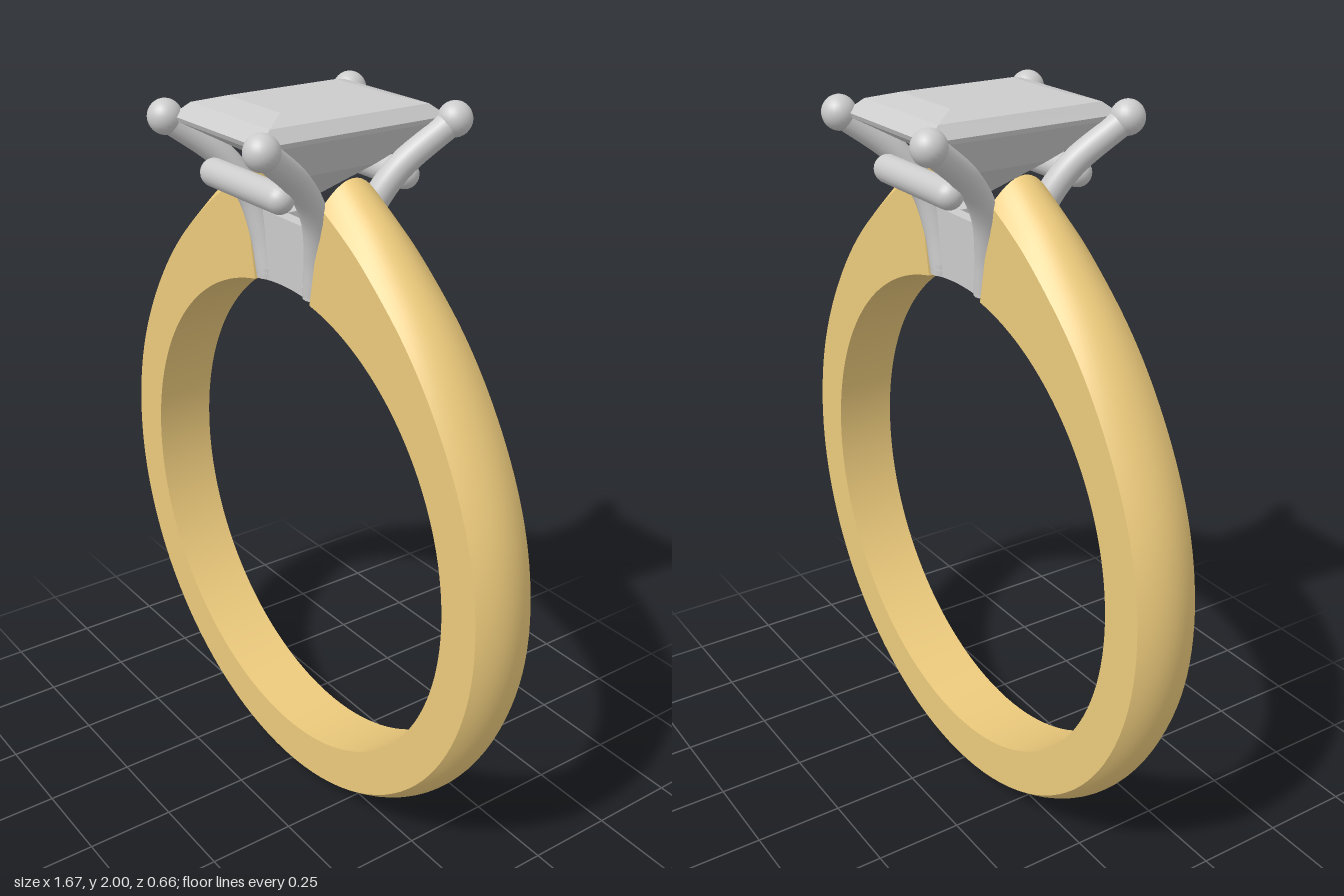
import * as THREE from 'three';
import { mergeGeometries } from 'three/addons/utils/BufferGeometryUtils.js';

const CY = 0.84, INNER = 0.68, HALF = 0.088; // finger hole centre height, radius, band half width

// Grid surface from a function of (i, j); normal = d/di x d/dj
function grid(nu, nv, f) {
  const pos = [], idx = [];
  for (let i = 0; i <= nu; i++) for (let j = 0; j <= nv; j++) pos.push(...f(i, j));
  for (let i = 0; i < nu; i++) for (let j = 0; j < nv; j++) {
    const a = i * (nv + 1) + j, b = a + nv + 1;
    idx.push(a, b, a + 1, b, b + 1, a + 1);
  }
  const g = new THREE.BufferGeometry();
  g.setAttribute('position', new THREE.Float32BufferAttribute(pos, 3));
  g.setIndex(idx);
  g.computeVertexNormals();
  return g;
}

function bandGeometry() {
  // angle from the top in degrees, radius of the side edge, radius of the domed crest
  const half = [
    [10.5, 0.945, 1.012], [18, 0.912, 0.964], [31, 0.864, 0.9], [52, 0.82, 0.845],
    [75, 0.806, 0.834], [105, 0.804, 0.834], [140, 0.805, 0.838],
  ];
  const table = [...half, [180, 0.806, 0.84], ...half.map(([a, e, c]) => [360 - a, e, c]).reverse()];
  const curve = new THREE.CatmullRomCurve3(table.map((p) => new THREE.Vector3(...p)), false, 'catmullrom', 0.5);
  const N = 168, D = 14;
  const rows = curve.getPoints(N);
  const at = (i, r, z) => {
    const a = THREE.MathUtils.degToRad(rows[i].x);
    return [r * Math.sin(a), CY + r * Math.cos(a), z];
  };
  const zAt = (j) => HALF * (1 - (2 * j) / D);
  const dome = (i, j) => {
    const k = zAt(j) / HALF;
    return at(i, rows[i].y + (rows[i].z - rows[i].y) * (1 - k * k), zAt(j));
  };
  const inner = (i, j) => at(i, INNER, zAt(j));
  return mergeGeometries([
    grid(N, D, dome),
    grid(N, 1, (i, j) => at(i, j ? INNER : rows[i].y, -HALF)),
    grid(N, 1, (i, j) => at(i, INNER, j ? HALF : -HALF)),
    grid(N, 1, (i, j) => at(i, j ? rows[i].y : INNER, HALF)),
    grid(1, D, (i, j) => (i ? dome(0, j) : inner(0, j))),
    grid(1, D, (i, j) => (i ? inner(N, j) : dome(N, j))),
  ]);
}

function gemGeometry() {
  // rectangular levels: half width, half depth, height
  const levels = [
    [0, 0, 1.74], [0.14, 0.1, 1.845], [0.197, 0.272, 1.938], [0.2, 0.277, 1.95],
    [0.175, 0.235, 1.982], [0.115, 0.165, 2], [0, 0, 2],
  ];
  const corners = [[-1, 1], [1, 1], [1, -1], [-1, -1], [-1, 1]];
  const g = grid(4, levels.length - 1, (i, j) => {
    const [w, d, y] = levels[j];
    return [corners[i][0] * w, y, corners[i][1] * d];
  }).toNonIndexed();
  g.computeVertexNormals();
  return g;
}

export function createModel() {
  const model = new THREE.Group();
  const gold = new THREE.MeshStandardMaterial({ color: 0xecca7c });
  const silver = new THREE.MeshStandardMaterial({ color: 0xcccccc });
  const facet = new THREE.MeshStandardMaterial({ color: 0xcccccc, flatShading: true });
  const add = (name, geometry, material, parent = model) => {
    const mesh = new THREE.Mesh(geometry, material);
    mesh.name = name;
    parent.add(mesh);
    return mesh;
  };

  add('band', bandGeometry(), gold);
  add('gemstone', gemGeometry(), facet);

  const setting = new THREE.Group();
  setting.name = 'setting';
  model.add(setting);

  // Collar walls with a bottom that follows the finger hole
  const wall = new THREE.Shape();
  const a = Math.asin(0.115 / INNER);
  wall.absarc(0, CY, INNER, Math.PI / 2 - a, Math.PI / 2 + a, false);
  wall.lineTo(-0.13, 1.7);
  wall.lineTo(0.13, 1.7);
  wall.closePath();
  for (const s of [1, -1]) {
    const g = new THREE.ExtrudeGeometry(wall, { depth: 0.036, bevelEnabled: false, curveSegments: 12 });
    g.translate(0, 0, s > 0 ? 0.04 : -0.076);
    add('collarWall', g, silver, setting);
    const side = add('collarSide', new THREE.BoxGeometry(0.07, 0.18, 0.09), silver, setting);
    side.position.set(s * 0.082, 1.608, 0);
  }

  // Four flaring prongs with ball tips
  for (const sx of [1, -1]) for (const sz of [1, -1]) {
    const prong = new THREE.Group();
    prong.name = 'prong';
    setting.add(prong);
    const path = new THREE.CatmullRomCurve3([
      [0.105, 1.53, 0.055], [0.122, 1.63, 0.062], [0.146, 1.74, 0.088],
      [0.172, 1.835, 0.15], [0.217, 1.945, 0.285],
    ].map(([x, y, z]) => new THREE.Vector3(sx * x, y, sz * z)));
    add('prongStem', new THREE.TubeGeometry(path, 32, 0.035, 16), silver, prong);
    add('prongTip', new THREE.SphereGeometry(0.045, 24, 16), silver, prong)
      .position.set(sx * 0.217, 1.945, sz * 0.285);
    add('prongFoot', new THREE.CylinderGeometry(0.035, 0.034, 0.03, 16), silver, prong)
      .position.set(sx * 0.105, 1.532, sz * 0.055);
  }

  // Round-ended cross rails in front of and behind the prongs
  for (const s of [1, -1]) {
    const rail = add('crossRail', new THREE.CapsuleGeometry(0.037, 0.29, 8, 20), silver, setting);
    rail.rotation.z = Math.PI / 2;
    rail.position.set(0, 1.805, s * 0.19);
  }
  return model;
}
